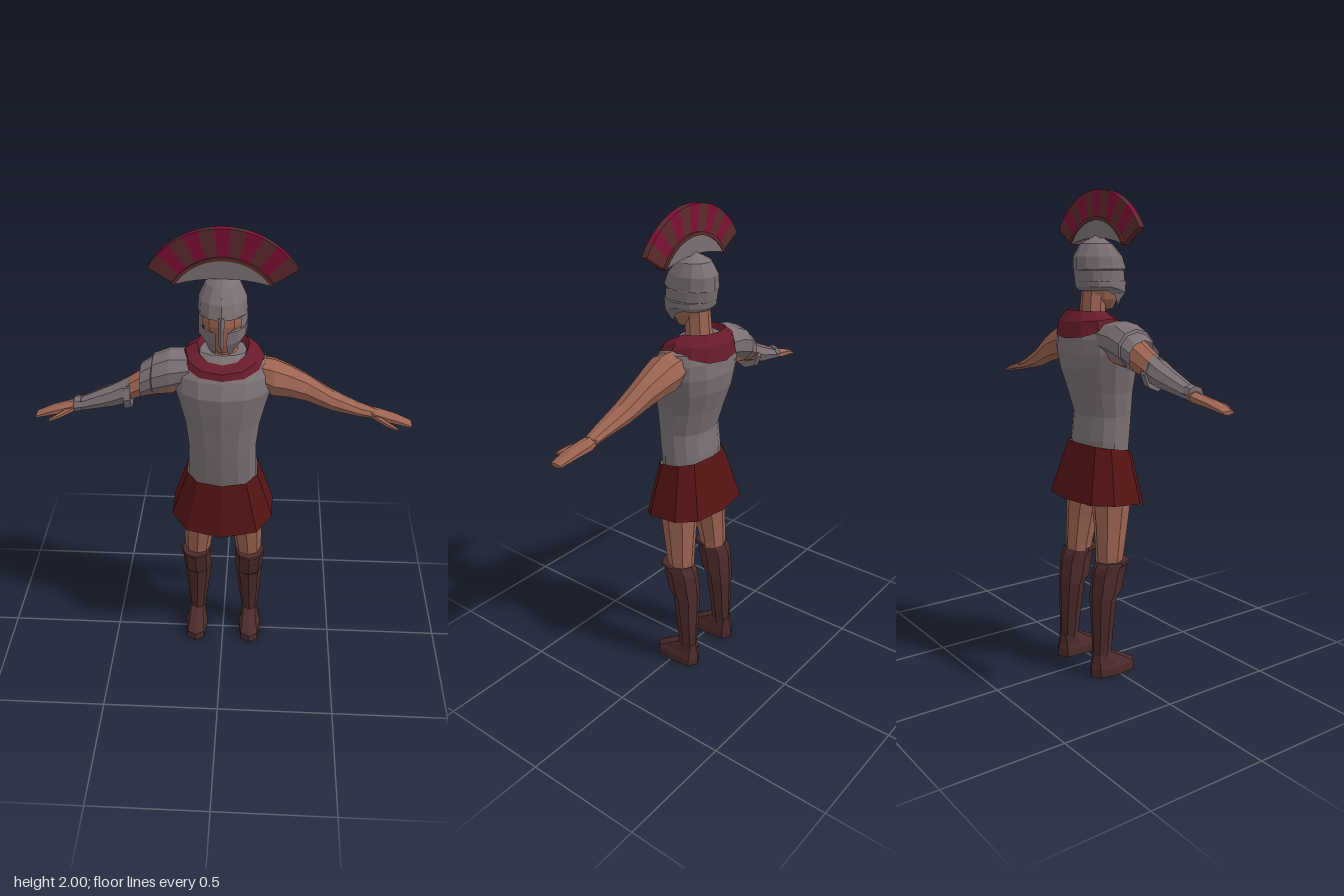
import * as THREE from 'three';

const mat = (color, side = THREE.DoubleSide) =>
  new THREE.MeshStandardMaterial({ color, side, flatShading: true, roughness: 0.9 });
const skin = mat(0x9c6452), steel = mat(0x7b7073), leather = mat(0x4c2b2b);
const skirtRed = mat(0x561414), scarfRed = mat(0x691c2b);
const plumeA = mat(0x7d1034), plumeB = mat(0x5c2a2d);
const lining = mat(0x7b7073, THREE.BackSide);

// Skin a list of point rows with quads; rows run round the part, optionally capped.
function surface(rows, { closed = true, caps = true, flip = false } = {}) {
  const n = rows[0].length, pos = rows.flat().flatMap(p => [p.x, p.y, p.z]), idx = [];
  const tri = (a, b, c) => idx.push(...(flip ? [a, c, b] : [a, b, c]));
  for (let r = 0; r < rows.length - 1; r++) {
    for (let i = 0; i < (closed ? n : n - 1); i++) {
      const j = (i + 1) % n, a = r * n, b = a + n;
      tri(a + i, a + j, b + j);
      tri(a + i, b + j, b + i);
    }
  }
  if (caps && closed) {
    const last = (rows.length - 1) * n;
    for (let i = 1; i < n - 1; i++) {
      tri(0, i + 1, i);
      tri(last, last + i, last + i + 1);
    }
  }
  const g = new THREE.BufferGeometry();
  g.setAttribute('position', new THREE.Float32BufferAttribute(pos, 3));
  g.setIndex(idx);
  const flat = g.toNonIndexed();
  flat.computeVertexNormals();
  return flat;
}

const pow = (v, k) => Math.sign(v) * Math.abs(v) ** k;

// Horizontal section: y (number or function of cos angle), half width, front z, back z, centre x.
function ring([y, rx, zf, zb, cx = 0], n = 12, k = 1, open = 0) {
  const zc = (zf + zb) / 2, rz = (zf - zb) / 2;
  return Array.from({ length: n }, (_, i) => {
    const a = open ? open + (i / (n - 1)) * (2 * Math.PI - 2 * open) : (i / n) * 2 * Math.PI;
    const c = Math.cos(a), s = Math.sin(a);
    return new THREE.Vector3(cx + rx * pow(s, k), typeof y === 'function' ? y(c) : y, zc + rz * pow(c, k));
  });
}

// Section across an arm: x, centre y, centre z, half height, half depth.
const armRing = ([x, y, z, ry, rz], side, n = 8) => Array.from({ length: n }, (_, i) => {
  const a = (i / n) * 2 * Math.PI;
  return new THREE.Vector3(x * side, y + ry * Math.cos(a), z + rz * Math.sin(a));
});

export function createModel() {
  const model = new THREE.Group();
  const add = (name, geometry, material, parent = model) => {
    const m = new THREE.Mesh(geometry, material);
    m.name = name;
    parent.add(m);
    return m;
  };
  const body = (name, rows, material, n = 12, k = 1, opts) =>
    add(name, surface(rows.map(r => ring(r, n, k)), opts), material);

  // Breastplate
  body('breastplate', [
    [0.9, 0.145, 0.105, -0.085], [1.0, 0.143, 0.12, -0.088], [1.1, 0.14, 0.13, -0.078],
    [1.2, 0.152, 0.138, -0.108], [1.29, 0.175, 0.148, -0.138], [1.36, 0.195, 0.15, -0.148],
    [1.42, 0.192, 0.122, -0.142], [1.46, 0.17, 0.085, -0.13], [1.5, 0.1, 0.04, -0.1],
  ], steel, 14, 0.92);

  // Skirt with a lower front point, plus its inner lining
  const skirt = [
    [c => 0.755 - 0.065 * Math.max(0, c) ** 1.5, 0.222, 0.16, -0.158],
    [c => 0.97 - 0.035 * Math.max(0, c) + 0.015 * Math.max(0, -c), 0.15, 0.122, -0.094],
  ];
  const skirtRows = skirt.map(r => ring(r, 10, 0.75));
  add('skirt', surface(skirtRows, { caps: false }), skirtRed);
  const inner = skirt.map(([y, rx, zf, zb]) => ring([y, rx - 0.004, zf - 0.004, zb + 0.004], 10, 0.75));
  add('skirtLining', surface(inner, { caps: false }), lining);
  body('hips', [[0.71, 0.05, 0.05, -0.05], [0.78, 0.13, 0.085, -0.075], [0.92, 0.138, 0.1, -0.08]], skin, 10);

  // Scarf draped round the neck
  const drape = (f, s, b) => c => s + (c > 0 ? (f - s) * c : (b - s) * -c);
  body('scarf', [
    [drape(1.43, 1.475, 1.42), 0.163, 0.118, -0.157],
    [drape(1.455, 1.5, 1.485), 0.148, 0.108, -0.15],
    [drape(1.475, 1.525, 1.53), 0.102, 0.07, -0.122],
    [drape(1.45, 1.49, 1.49), 0.085, 0.05, -0.1],
  ], scarfRed, 12, 0.9, { caps: false });

  // Neck and head
  body('neck', [[1.44, 0.085, 0.04, -0.1], [1.51, 0.055, 0.03, -0.075], [1.62, 0.05, 0.04, -0.065]], skin, 8);
  body('head', [
    [1.53, 0.028, 0.075, 0.0], [1.57, 0.058, 0.093, -0.05], [1.65, 0.08, 0.108, -0.078],
    [1.7, 0.08, 0.1, -0.08], [1.76, 0.06, 0.07, -0.07],
  ], skin, 10);

  // Helmet: cheek guards, eye opening, brow and dome; last number is the front opening angle
  const helmet = [
    [c => 1.605 - 0.085 * Math.max(0, c) ** 1.5, 0.08, 0.085, -0.072, 0, 0.3],
    [c => 1.62 - 0.035 * Math.max(0, c), 0.096, 0.122, -0.086, 0, 0.2],
    [1.64, 0.095, 0.128, -0.09, 0, 0.22],
    [1.645, 0.094, 0.126, -0.092, 0, 0.85],
    [1.685, 0.093, 0.122, -0.098, 0, 0.85],
    [1.69, 0.094, 0.128, -0.1, 0, 1e-4],
    [1.74, 0.09, 0.108, -0.098, 0, 1e-4],
    [1.79, 0.066, 0.062, -0.068, 0, 1e-4],
    [1.822, 0.008, 0.015, -0.005, 0, 1e-4],
  ];
  add('helmet', surface(helmet.map(r => ring(r, 13, 1, r[5])), { closed: false }), steel);
  const guard = add('noseGuard', new THREE.CylinderGeometry(0.012, 0.009, 0.12, 4), steel);
  guard.position.set(0, 1.64, 0.127);
  guard.rotation.x = -0.03;

  // Crest: striped fan of plumes on a curved holder
  const crest = new THREE.Group();
  crest.name = 'crest';
  crest.position.y = 1.673;
  model.add(crest);
  const band = (name, r0, r1, a0, a1, depth, material) => {
    const s = new THREE.Shape();
    s.absarc(0, 0, r1, a0, a1, false);
    s.absarc(0, 0, r0, a1, a0, true);
    const steps = Math.max(1, Math.round((a1 - a0) / 0.19));
    const g = new THREE.ExtrudeGeometry(s, { depth, bevelEnabled: false, curveSegments: steps });
    g.translate(0, 0, 0.012 - depth / 2);
    add(name, g, material, crest);
  };
  const half = THREE.MathUtils.degToRad(57.5), start = Math.PI / 2 - half, stripes = 11;
  for (let i = 0; i < stripes; i++) {
    const step = (2 * half) / stripes;
    band('plume' + (i + 1), 0.216, 0.327, start + i * step, start + (i + 1) * step, 0.026, i % 2 ? plumeA : plumeB);
  }
  band('plumeBase', 0.209, 0.222, start, start + 2 * half, 0.044, plumeB);
  const holder = new THREE.Shape();
  holder.absarc(0, 0, 0.212, start, start + 2 * half, false);
  holder.quadraticCurveTo(0, 0.165, 0.212 * Math.cos(start), 0.212 * Math.sin(start));
  const hg = new THREE.ExtrudeGeometry(holder, { depth: 0.036, bevelEnabled: false, curveSegments: 8 });
  add('crestHolder', hg.translate(0, 0, -0.006), steel, crest);

  for (const side of [1, -1]) {
    const label = side > 0 ? 'left' : 'right';
    const leg = (name, rows, material, n, k) =>
      body(label + name, rows.map(([y, x, rx, zf, zb]) => [y, rx, zf, zb, x * side]), material, n, k);
    const arm = (name, rows, material, n = 8, caps = true) =>
      add(label + name, surface(rows.map(r => armRing(r, side, n)), { flip: side < 0, caps }), material);

    // Legs, greaves with a flared knee, and feet
    leg('Thigh', [
      [0.44, 0.113, 0.052, 0.03, -0.075], [0.52, 0.113, 0.058, 0.045, -0.075],
      [0.64, 0.104, 0.067, 0.07, -0.076], [0.74, 0.094, 0.081, 0.088, -0.078], [0.9, 0.075, 0.07, 0.09, -0.08],
    ], skin, 8);
    leg('Greave', [
      [0.06, 0.124, 0.034, -0.02, -0.103], [0.2, 0.121, 0.048, -0.012, -0.105], [0.34, 0.117, 0.06, 0.005, -0.108],
      [0.37, 0.118, 0.062, 0.032, -0.108], [0.45, 0.12, 0.063, 0.052, -0.098], [0.475, 0.12, 0.065, 0.055, -0.088],
      [0.485, 0.12, 0.067, 0.072, -0.082], [0.495, 0.12, 0.064, 0.07, -0.078],
    ], leather, 8);
    leg('Foot', [
      [0, 0.126, 0.05, 0.1, -0.118], [0.035, 0.126, 0.05, 0.098, -0.118],
      [0.055, 0.125, 0.043, 0.065, -0.113], [0.1, 0.124, 0.034, -0.02, -0.104],
    ], leather, 8, 0.7);

    // Arm, hand and thumb
    arm('Arm', [
      [0.13, 1.41, -0.015, 0.06, 0.07], [0.2, 1.388, -0.008, 0.077, 0.08], [0.26, 1.372, -0.008, 0.067, 0.07],
      [0.33, 1.345, -0.006, 0.057, 0.057], [0.43, 1.297, 0.004, 0.041, 0.05], [0.54, 1.26, 0.012, 0.026, 0.037],
      [0.6, 1.243, 0.01, 0.02, 0.029],
    ], skin);
    arm('Hand', [
      [0.59, 1.245, 0.01, 0.02, 0.03], [0.62, 1.238, 0.01, 0.02, 0.038],
      [0.69, 1.224, 0.019, 0.015, 0.036], [0.755, 1.205, 0.027, 0.008, 0.028],
    ], skin, 6);
    arm('Thumb', [[0.6, 1.238, 0.022, 0.014, 0.02], [0.65, 1.225, 0.06, 0.012, 0.016], [0.695, 1.212, 0.083, 0.006, 0.009]], skin, 6);
    if (side > 0) continue;

    // Armoured right arm: layered shoulder plate, vambrace and its two rims
    arm('ShoulderPlate', [
      [0.13, 1.425, -0.015, 0.065, 0.09], [0.21, 1.41, -0.01, 0.084, 0.092], [0.275, 1.39, -0.01, 0.076, 0.09],
      [0.28, 1.385, -0.01, 0.07, 0.082], [0.325, 1.36, -0.008, 0.066, 0.076],
    ], steel, 10, false);
    arm('Vambrace', [
      [0.37, 1.322, 0.002, 0.055, 0.058], [0.44, 1.293, 0.005, 0.046, 0.053], [0.58, 1.25, 0.012, 0.026, 0.035],
    ], steel);
    const rim = (name, x, y, z, ry, rz) =>
      arm(name, [[x - 0.014, y + 0.003, z, ry, rz], [x + 0.014, y - 0.003, z, ry, rz]], steel);
    rim('ElbowRim', 0.378, 1.305, 0.005, 0.064, 0.064);
    rim('WristRim', 0.583, 1.254, 0.013, 0.032, 0.038);
  }
  return model;
}
